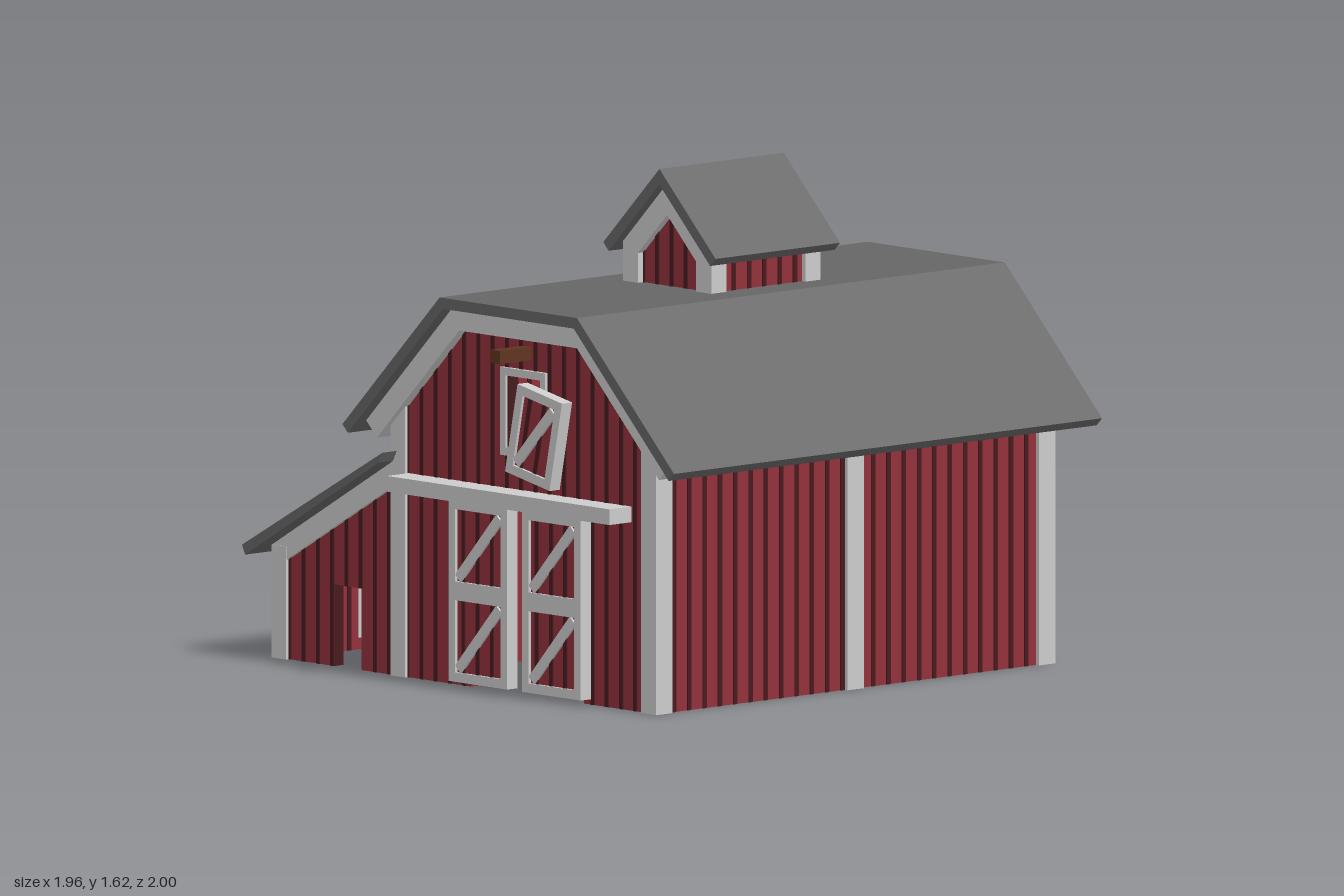
import * as THREE from 'three';

const mat = (color) => new THREE.MeshStandardMaterial({ color, flatShading: true });
const trim = mat(0xcccccc), red = mat(0x93303a), groove = mat(0x471a1e);
const roofing = mat(0x666666), wood = mat(0x5f3320);

const rect = (u0, u1, v0, v1) => [[u0, v0], [u1, v0], [u1, v1], [u0, v1]];
const toVectors = (pts) => pts.map(([u, v]) => new THREE.Vector2(u, v));

// Flat outline (with holes) given thickness from w0 to w1
function slab(parent, name, material, pts, w0, w1, holes = []) {
  const shape = new THREE.Shape(toVectors(pts));
  holes.forEach((h) => shape.holes.push(new THREE.Path(toVectors(h))));
  const geo = new THREE.ExtrudeGeometry(shape, { depth: w1 - w0, bevelEnabled: false });
  geo.translate(0, 0, w0);
  const mesh = new THREE.Mesh(geo, material);
  mesh.name = name;
  parent.add(mesh);
  return mesh;
}

// Straight strip between two points
function strip(parent, name, a, b, width, w0, w1) {
  const dx = b[0] - a[0], dy = b[1] - a[1], k = width / 2 / Math.hypot(dx, dy);
  const nx = -dy * k, ny = dx * k;
  slab(parent, name, trim, [[a[0] - nx, a[1] - ny], [b[0] - nx, b[1] - ny],
    [b[0] + nx, b[1] + ny], [a[0] + nx, a[1] + ny]], w0, w1);
}

// Red wall with dark vertical seams, interrupted wherever the wall is open
function wall(parent, name, pts, w0, w1, holes = [], step = 0.066) {
  const g = new THREE.Group();
  g.name = name;
  parent.add(g);
  slab(g, name + 'Panel', red, pts, w0, w1, holes);
  const us = pts.map((p) => p[0]), lo = Math.min(...us), hi = Math.max(...us);
  for (let u = lo + step * 0.75; u < hi - 0.02; u += step) {
    const crossings = [];
    for (const loop of [pts, ...holes]) {
      loop.forEach(([u0, v0], i) => {
        const [u1, v1] = loop[(i + 1) % loop.length];
        if ((u0 <= u) !== (u1 <= u)) crossings.push(v0 + (v1 - v0) * (u - u0) / (u1 - u0));
      });
    }
    crossings.sort((a, b) => a - b);
    for (let i = 0; i + 1 < crossings.length; i += 2) {
      slab(g, 'seam', groove, rect(u - 0.008, u + 0.008, crossings[i], crossings[i + 1]), w0 - 0.004, w1 + 0.004);
    }
  }
}

// Framed, braced door centred on its own origin; lean = direction of the braces
function door(parent, name, w, h, u, v, wPos, lean, midRail) {
  const g = new THREE.Group();
  g.name = name;
  g.position.set(u, v, wPos);
  parent.add(g);
  const x = w / 2, y = h / 2, b = 0.03, t = 0.022;
  wall(g, 'doorBoards', rect(-x + 0.01, x - 0.01, -y + 0.01, y - 0.01), -0.012, 0.012);
  slab(g, 'doorFrame', trim, rect(-x, x, -y, y), -t, t, [rect(-x + b, x - b, -y + b, y - b)]);
  if (midRail) slab(g, 'doorRail', trim, rect(-x + b, x - b, -0.03, 0.03), -t, t);
  const spans = midRail ? [[-y + b, -0.03], [0.03, y - b]] : [[-y + b, y - b]];
  for (const [lo, hi] of spans) {
    strip(g, 'doorBrace', [-lean * (x - b - 0.01), lo + 0.01], [lean * (x - b - 0.01), hi - 0.01], 0.035, -t + 0.002, t - 0.002);
  }
  return g;
}

// Four-pane window
function window4(parent, u, v, w0, w1) {
  const g = new THREE.Group();
  g.name = 'window';
  parent.add(g);
  const panes = [];
  for (const a of [-0.045, 0.045]) for (const b of [-0.045, 0.045]) {
    panes.push(rect(u + a - 0.034, u + a + 0.034, v + b - 0.034, v + b + 0.034));
  }
  slab(g, 'windowFrame', trim, rect(u - 0.103, u + 0.103, v - 0.103, v + 0.103), w0, w1, panes);
  slab(g, 'windowPane', trim, rect(u - 0.1, u + 0.1, v - 0.1, v + 0.1), w0 + 0.015, w1 - 0.015);
}

export function createModel() {
  const model = new THREE.Group();
  model.name = 'barn';
  // Parts drawn in the side plane: local (u, v, w) = (z, y, -x)
  const side = new THREE.Group();
  side.name = 'sideParts';
  side.rotation.y = -Math.PI / 2;
  model.add(side);

  // Roofs
  slab(side, 'mainRoof', roofing, [[1, 0.79], [0.55, 1.24], [-0.085, 1.24], [-0.535, 0.79],
    [-0.51, 0.765], [-0.07, 1.205], [0.535, 1.205], [0.975, 0.765]], -0.922, 0.922);
  slab(side, 'leanToRoof', roofing, [[-0.35, 0.718], [-1, 0.358], [-0.985, 0.328], [-0.367, 0.685]], -0.922, 0.922);

  // End walls, one at each side
  const gable = [[0.83, 0], [0.83, 0.91], [0.535, 1.205], [-0.07, 1.205], [-0.365, 0.91], [-0.365, 0],
    [-0.02, 0], [-0.02, 0.6], [0.5, 0.6], [0.5, 0]];
  const loftHole = rect(0.15, 0.31, 0.78, 1.01);
  const doorway = [[-0.365, 0], [-0.365, 0.68], [-0.91, 0.37], [-0.91, 0],
    [-0.66, 0], [-0.66, 0.26], [-0.53, 0.26], [-0.53, 0]];
  const plainEnd = [[-0.365, 0], [-0.365, 0.68], [-0.91, 0.37], [-0.91, 0]];
  for (const s of [1, -1]) {
    // Places a span of x on this side
    const span = (x0, x1) => (s > 0 ? [-x1, -x0] : [x0, x1]);
    wall(side, 'gableWall', gable, ...span(0.81, 0.845), [loftHole]);
    wall(side, 'leanToEndWall', s > 0 ? plainEnd : doorway, ...span(0.81, 0.845));
    slab(side, 'gableTrim', trim, [[0.935, 0.805], [0.535, 1.205], [-0.07, 1.205], [-0.47, 0.805],
      [-0.42, 0.755], [-0.04, 1.135], [0.505, 1.135], [0.885, 0.755]], ...span(0.8, 0.88));
    slab(side, 'leanToTrim', trim, [[-0.37, 0.683], [-0.93, 0.36], [-0.93, 0.28], [-0.37, 0.603]], ...span(0.8, 0.858));
    slab(side, 'frontPost', trim, rect(0.78, 0.85, 0, 0.88), ...span(0.79, 0.86));
    slab(side, 'innerPost', trim, rect(-0.38, -0.312, 0, 0.88), ...span(0.79, 0.86));
    slab(side, 'backPost', trim, rect(-0.93, -0.862, 0, 0.36), ...span(0.79, 0.86));
    slab(side, 'hoistBeam', wood, rect(0.215, 0.257, 1.068, 1.11), ...span(0.78, 0.98));
    slab(side, 'loftFrame', trim, rect(0.125, 0.333, 0.755, 1.035), ...span(0.805, 0.858), [loftHole]);

    // Sliding doors on a rail
    const w = -s * 0.884, centres = s > 0 ? [0.58, -0.11] : [0.415, 0.075];
    for (const u of centres) door(side, 'slidingDoor', 0.27, 0.58, u, 0.31, w, -s, true);
    const rail = s > 0 ? [-0.275, 0.745] : [-0.31, 0.72];
    slab(side, 'doorRailCover', trim, rect(...rail, 0.6, 0.65), ...span(0.845, 0.94));
  }
  // Loft doors: one shut, one hanging askew
  door(side, 'loftDoor', 0.21, 0.29, 0.23, 0.895, -0.878, -1, false);
  door(side, 'hangingLoftDoor', 0.21, 0.29, 0.33, 0.835, 0.882, 1, false).rotation.z = -0.2;

  // Long walls with middle posts
  wall(model, 'frontWall', rect(-0.82, 0.82, 0, 0.9), 0.8, 0.835);
  wall(model, 'innerWall', rect(-0.82, 0.82, 0, 0.9), -0.365, -0.33);
  wall(model, 'backWall', rect(-0.82, 0.82, 0, 0.37), -0.915, -0.88);
  slab(model, 'frontMiddlePost', trim, rect(-0.035, 0.035, 0, 0.88), 0.79, 0.85);
  slab(model, 'innerMiddlePost', trim, rect(-0.035, 0.035, 0, 0.88), -0.38, -0.32);
  slab(model, 'backMiddlePost', trim, rect(-0.035, 0.035, 0, 0.36), -0.93, -0.87);
  slab(model, 'innerDoor', wood, rect(-0.66, -0.5, 0.01, 0.25), -0.4, -0.36);

  // Lean-to windows
  for (const x of [-0.43, 0.43]) window4(model, x, 0.14, -0.935, -0.875);
  window4(side, -0.62, 0.14, -0.865, -0.8);

  // Cupola
  const cupola = new THREE.Group();
  cupola.name = 'cupola';
  cupola.position.z = -0.005 * -1;
  side.add(cupola);
  wall(cupola, 'cupolaBody', [[0.42, 1.2], [0.42, 1.385], [0.235, 1.57], [0.05, 1.385], [0.05, 1.2]], -0.21, 0.21);
  slab(cupola, 'cupolaRoof', roofing, [[0.495, 1.36], [0.235, 1.62], [-0.025, 1.36], [0, 1.335],
    [0.235, 1.57], [0.47, 1.335]], -0.268, 0.268);
  for (const w of [-0.235, 0.17]) {
    slab(cupola, 'cupolaTrim', trim, [[0.44, 1.2], [0.44, 1.367], [0.235, 1.572], [0.03, 1.367], [0.03, 1.2],
      [0.1, 1.2], [0.1, 1.335], [0.235, 1.47], [0.37, 1.335], [0.37, 1.2]], w, w + 0.065);
  }
  wall(model, 'cupolaLongWalls', rect(-0.18, 0.17, 1.2, 1.375), 0.046, 0.424);

  return model;
}
